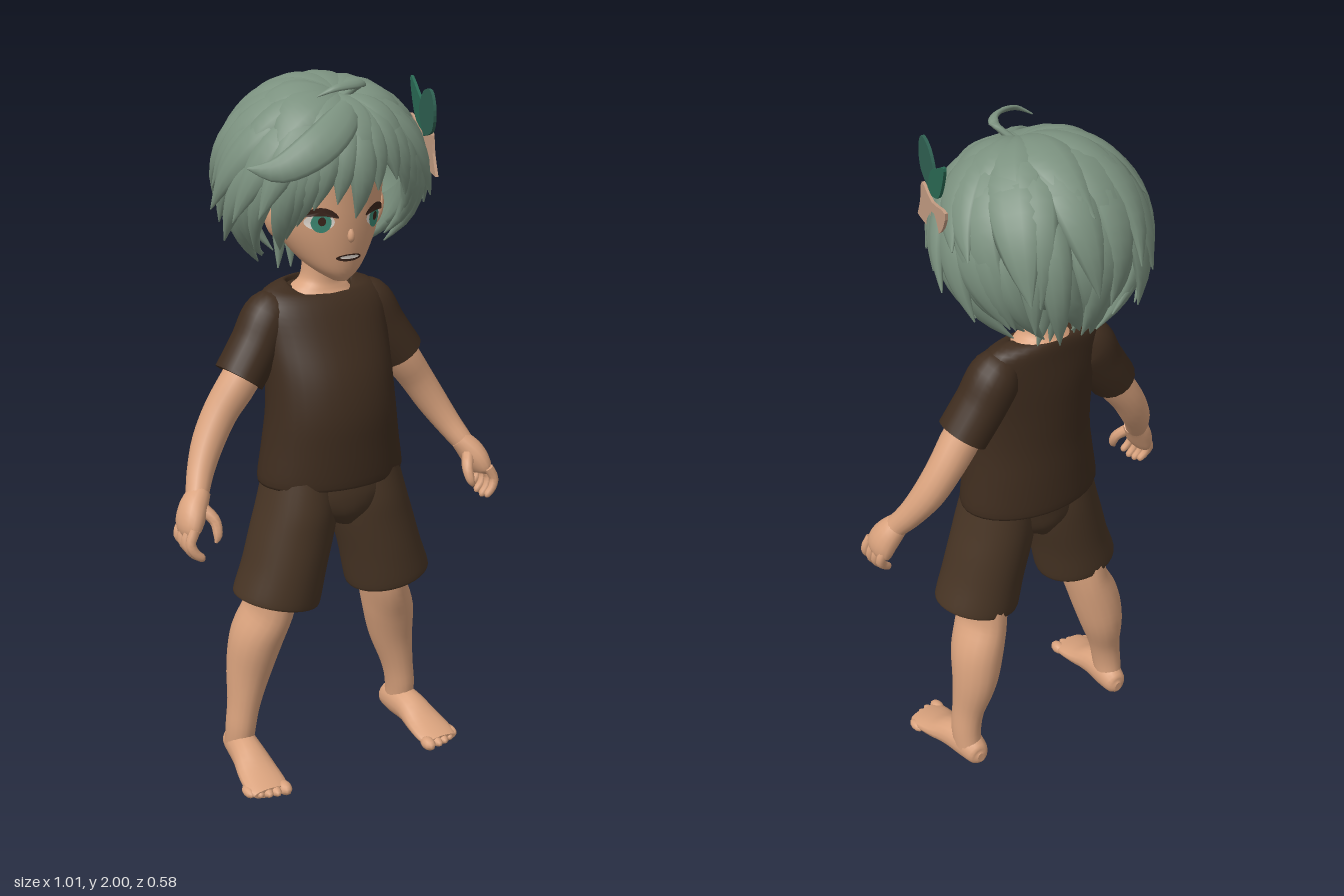
import * as THREE from 'three';

const mat = (name, color, side = THREE.FrontSide) => {
  const m = new THREE.MeshStandardMaterial({ color, side });
  m.name = name;
  return m;
};
const V = (x, y, z) => new THREE.Vector3(x, y, z);

// Smooth interpolation through equally long rows of numbers, t from 0 to 1
function interp(rows, t) {
  const n = rows.length - 1, i = Math.min(Math.floor(t * n), n - 1), f = t * n - i;
  const at = k => rows[Math.max(0, Math.min(n, k))];
  const [a, b, c, d] = [at(i - 1), at(i), at(i + 1), at(i + 2)];
  return b.map((_, k) => b[k] + 0.5 * f * (c[k] - a[k] + f * (2 * a[k] - 5 * b[k] + 4 * c[k] - d[k]
    + f * (3 * (b[k] - c[k]) + d[k] - a[k]))));
}

// Closed skin over equal rings of points
function skin(rings) {
  const n = rings[0].length, pos = [], idx = [];
  rings.forEach(r => r.forEach(p => pos.push(p.x, p.y, p.z)));
  for (let i = 0; i < rings.length - 1; i++) for (let j = 0; j < n; j++) {
    const a = i * n + j, b = i * n + (j + 1) % n;
    idx.push(a, b, a + n, b, b + n, a + n);
  }
  [0, rings.length - 1].forEach((ri, end) => {
    const c = rings[ri].reduce((s, p) => s.add(p), V(0, 0, 0)).divideScalar(n);
    const base = pos.length / 3;
    rings[ri].forEach(p => pos.push(p.x, p.y, p.z));
    pos.push(c.x, c.y, c.z);
    for (let j = 0; j < n; j++) {
      const a = base + j, b = base + (j + 1) % n;
      idx.push(base + n, end ? a : b, end ? b : a);
    }
  });
  const g = new THREE.BufferGeometry();
  g.setAttribute('position', new THREE.Float32BufferAttribute(pos, 3));
  g.setIndex(idx);
  g.computeVertexNormals();
  return g;
}

// Upright loft, rows: [y, cx, cz, rx, rz, front dip, sideways tilt]
function loft(rows, steps = 24, n = 32) {
  const full = rows.map(([y, cx, cz, rx, rz, dip = 0, tilt = 0]) => [y, cx, cz, rx, rz, dip, tilt]);
  const rings = [];
  for (let i = 0; i <= steps; i++) {
    const [y, cx, cz, rx, rz, dip, tilt] = interp(full, i / steps);
    rings.push(Array.from({ length: n }, (_, j) => {
      const a = j / n * Math.PI * 2, s = Math.sin(a), c = Math.cos(a);
      return V(cx + rx * s, y - dip * Math.max(0, c) + tilt * s, cz + rz * c);
    }));
  }
  return skin(rings);
}

// Tapered sweep, rows: [x, y, z, half width, half thickness]; hint(p) gives the thickness direction
function sweep(rows, hint, steps = 12, n = 10) {
  const rings = [], point = t => V(...interp(rows, t).slice(0, 3));
  for (let i = 0; i <= steps; i++) {
    const t = i / steps, [x, y, z, w, h] = interp(rows, t), p = V(x, y, z);
    const T = point(Math.min(1, t + 0.01)).sub(point(Math.max(0, t - 0.01))).normalize();
    const S = hint(p).cross(T).normalize(), N = T.clone().cross(S);
    rings.push(Array.from({ length: n }, (_, j) => {
      const a = j / n * Math.PI * 2;
      return p.clone().addScaledVector(S, Math.cos(a) * Math.max(w, 0.001))
        .addScaledVector(N, Math.sin(a) * Math.max(h, 0.001));
    }));
  }
  return skin(rings);
}

export function createModel() {
  const root = new THREE.Group();
  root.name = 'child';
  const figure = new THREE.Group();
  figure.name = 'figure';
  figure.position.x = -.012;
  root.add(figure);
  const hairMat = mat('hair green', 0x7b917f, THREE.DoubleSide), skinMat = mat('skin', 0xd9a27d);
  const shirtMat = mat('shirt brown', 0x3e2c1e), shortsMat = mat('shorts brown', 0x473424);
  const leafMat = mat('feather green', 0x2a6b55), leafDark = mat('dark feather', 0x2f6152);
  const tanMat = mat('ornament tan', 0xc59d83), whiteMat = mat('white', 0xe6ddd4);
  const irisMat = mat('iris teal', 0x3d8a74), darkMat = mat('lash dark', 0x3a241b);
  const add = (name, geo, m, parent = figure) => {
    const o = new THREE.Mesh(geo, m);
    o.name = name;
    parent.add(o);
    return o;
  };
  const front = () => V(0, 0, 1), up = () => V(0, 1, 0);

  // Head, neck and nose
  const headRows = [[1.465, 0, .105, .02, .025], [1.49, 0, .085, .06, .06], [1.53, 0, .05, .1, .105], [1.6, 0, .02, .14, .145],
    [1.68, 0, .005, .16, .165], [1.78, 0, 0, .165, .17], [1.88, 0, 0, .13, .14], [1.94, 0, 0, .06, .07]];
  add('head', loft(headRows), skinMat);
  add('neck', loft([[1.34, 0, -.01, .11, .08], [1.4, 0, -.01, .1, .078], [1.425, 0, -.01, .085, .066], [1.45, 0, -.005, .058, .055],
    [1.5, 0, 0, .052, .052], [1.56, 0, 0, .055, .055]]), skinMat);
  add('nose', sweep([[0, 1.62, .15, .008, .01], [0, 1.6, .162, .01, .011], [0, 1.586, .166, .009, .008], [0, 1.58, .16, .004, .004]], front), skinMat);

  // Painted face, laid on the head's surface
  const faceZ = (x, y) => {
    let best = headRows[0];
    for (let t = 0; t <= 1; t += 0.004) {
      const r = interp(headRows, t);
      if (Math.abs(r[0] - y) < Math.abs(best[0] - y)) best = r;
    }
    return best[2] + best[4] * Math.sqrt(Math.max(0, 1 - (x / best[3]) ** 2));
  };
  const facePlate = (name, cx, cy, rx, ry, lift, m, arch = 0) => {
    const g = new THREE.CircleGeometry(1, 20), p = g.attributes.position;
    for (let i = 0; i < p.count; i++) {
      const u = p.getX(i), x = cx + u * rx, y = cy + p.getY(i) * ry - arch * u * u;
      p.setXYZ(i, x, y, faceZ(x, y) + lift);
    }
    g.computeVertexNormals();
    add(name, g, m);
  };
  for (const s of [1, -1]) {
    facePlate('eyeWhite', s * .082, 1.635, .034, .022, .003, whiteMat);
    facePlate('iris', s * .08, 1.634, .023, .027, .005, irisMat);
    facePlate('pupil', s * .08, 1.638, .009, .012, .007, darkMat);
    facePlate('lash', s * .084, 1.664, .044, .011, .008, darkMat, .016);
    const ear = add('ear', new THREE.SphereGeometry(1, 16, 12), skinMat);
    ear.scale.set(.018, .05, .032);
    ear.position.set(s * .16, 1.63, .02);
    ear.rotation.z = -s * .2;
  }
  facePlate('mouth', 0, 1.535, .038, .01, .003, darkMat);
  facePlate('teeth', 0, 1.537, .029, .005, .005, whiteMat);

  // Shirt
  add('shirt', loft([[.895, 0, .055, .2, .14], [.9, 0, .055, .22, .15], [1, 0, .057, .205, .152], [1.1, 0, .058, .192, .15],
    [1.2, 0, .045, .188, .14], [1.3, 0, .02, .192, .118], [1.38, 0, 0, .195, .095], [1.425, 0, -.015, .165, .078, .01],
    [1.445, 0, -.015, .105, .072, .04], [1.43, 0, -.015, .095, .066, .04]], 36), shirtMat);

  // Shorts: filled seat between two flared legs
  add('shortsSeat', loft([[.77, 0, .065, .04, .1], [.81, 0, .065, .13, .122], [.86, 0, .065, .195, .127], [.92, 0, .06, .2, .125]]), shortsMat);

  for (const s of [1, -1]) {
    add('shortsLeg', loft([[.56, s * .183, .07, .115, .112, 0, s * .025], [.555, s * .183, .07, .124, .124, 0, s * .025],
      [.65, s * .157, .07, .12, .126, 0, s * .01], [.75, s * .13, .067, .12, .127], [.83, s * .112, .065, .113, .127],
      [.92, s * .1, .06, .1, .12]]), shortsMat);
    add('sleeve', sweep([[s * .1, 1.39, -.015, .03, .04], [s * .15, 1.36, -.012, .072, .072], [s * .2, 1.28, -.005, .072, .076],
      [s * .257, 1.198, .003, .07, .077]], front, 16, 20), shirtMat);

    // Arm, palm and fingers
    add('arm', sweep([[s * .2, 1.27, 0, .05, .05], [s * .26, 1.185, .005, .054, .055], [s * .315, 1.11, .005, .049, .051],
      [s * .362, 1.035, .02, .045, .047], [s * .4, .97, .05, .038, .039], [s * .428, .92, .085, .032, .034],
      [s * .44, .9, .095, .03, .036]], front, 20, 16), skinMat);
    add('palm', sweep([[s * .42, .925, .085, .029, .033], [s * .445, .895, .1, .036, .045], [s * .464, .86, .115, .035, .052],
      [s * .473, .83, .122, .025, .048], [s * .472, .82, .124, .01, .03]], front, 12, 16), skinMat);
    for (let k = 0; k < 4; k++) {
      const z = .085 + k * .027, l = [.82, .95, 1, .92][k];
      add('finger', sweep([[s * .472, .85, z, .015, .012], [s * .489, .85 - .035 * l, z + .004, .015, .013],
        [s * .48, .85 - .065 * l, z + .01, .013, .012], [s * .46, .85 - .085 * l, z + .013, .011, .01],
        [s * .454, .85 - .089 * l, z + .013, .003, .003]], front, 10, 8), skinMat);
    }
    add('thumb', sweep([[s * .43, .89, .12, .018, .018], [s * .408, .86, .15, .016, .017], [s * .408, .825, .168, .013, .013],
      [s * .417, .805, .172, .004, .004]], front, 10, 8), skinMat);

    // Leg, foot and toes
    add('leg', sweep([[s * .178, .66, .05, .07, .09], [s * .182, .58, .045, .068, .098], [s * .192, .5, .035, .064, .098],
      [s * .222, .41, .016, .074, .089], [s * .242, .31, .004, .066, .076], [s * .264, .2, .01, .048, .056],
      [s * .276, .12, .01, .043, .052], [s * .278, .05, 0, .04, .05]], front, 28, 18), skinMat);
    add('foot', sweep([[s * .272, .045, -.064, .012, .015], [s * .272, .046, -.05, .034, .036], [s * .275, .058, 0, .044, .052],
      [s * .282, .056, .07, .049, .048], [s * .287, .038, .14, .06, .031], [s * .29, .026, .2, .063, .021],
      [s * .291, .022, .232, .052, .015]], up, 20, 16), skinMat);
    for (let k = 0; k < 5; k++) {
      const toe = add('toe', new THREE.SphereGeometry(1, 10, 8), skinMat), r = k ? .0155 : .02;
      toe.scale.set(r, r * .95, .03);
      toe.position.set(s * (.245 + k * .0235 + (k ? .006 : 0)), .021, .228 - k * k * .002);
    }
  }

  // Hair: cap plus tapered locks radiating from a whorl
  const hair = new THREE.Group();
  hair.name = 'hair';
  figure.add(hair);
  const cap = add('hairCap', new THREE.SphereGeometry(1, 32, 20, 0, Math.PI * 2, 0, 1.9), hairMat, hair);
  cap.rotation.x = -.55;
  cap.scale.set(.225, .215, .225);
  cap.position.set(0, 1.745, -.005);

  const C = V(0, 1.74, 0), R = V(.247, .232, .25), whorl = V(0, .93, .37).normalize();
  const outward = p => p.clone().sub(C);
  let seed = 7;
  const rnd = () => (seed = (seed * 16807) % 2147483647) / 2147483647 - .5;
  const lock = (az, el, width, flare, start = 0, swirl = 0) => {
    const a = az * Math.PI / 180, e = el * Math.PI / 180;
    const tip = V(Math.sin(a) * Math.cos(e), Math.sin(e), Math.cos(a) * Math.cos(e));
    const ang = whorl.angleTo(tip), rows = [];
    for (let k = 0; k <= 6; k++) {
      const f = k / 6, t = start + (1 - start) * f;
      const d = whorl.clone().multiplyScalar(Math.sin((1 - t) * ang)).addScaledVector(tip, Math.sin(t * ang))
        .divideScalar(Math.sin(ang)).applyAxisAngle(V(0, 1, 0), swirl * f * f);
      const p = d.multiply(R).multiplyScalar(.96 + .05 * Math.sin(Math.PI * f) + (flare - .96) * f ** 3).add(C);
      const w = width * [.3, .68, .95, 1, .84, .5, .02][k];
      rows.push([p.x, p.y, p.z, w, [.012, .02, .027, .03, .026, .016, .002][k]]);
    }
    add('hairLock', sweep(rows, outward, 14, 10), hairMat, hair);
  };
  // Rings of locks round the sides and back: [count, tip elevation, width, flare, start, first azimuth]
  const layers = [[12, -55, .052, 1.2, .4, 104], [13, -39, .056, 1.26, .3, 90], [14, -20, .062, 1.25, .1, 70],
    [12, 0, .066, 1.18, 0, 58], [8, 26, .066, 1.1, 0, 62]];
  for (const [count, el, w, flare, start, az0] of layers)
    for (let k = 0; k < count; k++)
      lock(az0 + (360 - 2 * az0) * k / (count - 1) + rnd() * 12, el + rnd() * 14, w * (1 + rnd() * .4), flare + rnd() * .18, start, rnd() * .5);
  // Fringe: [azimuth, tip elevation, width, flare]
  for (const [az, el, w, flare] of [[-78, -42, .045, 1.2], [-66, -50, .045, 1.05], [-54, -40, .045, 1], [-42, -27, .05, 1], [-30, -14, .05, 1.02],
    [-16, -10, .045, 1.02], [-3, -21, .045, 1], [10, -3, .042, 1.02], [24, 2, .045, 1.04], [37, -10, .045, 1.02], [49, -30, .045, 1],
    [60, -46, .045, 1], [72, -50, .04, 1.1], [-58, -16, .055, 1.25], [-35, 8, .055, 1.08], [0, 10, .055, 1.06], [32, 15, .055, 1.08], [58, -12, .055, 1.22]])
    lock(az, el, w, flare, 0, -.06);
  // Stray curls: hooked fringe lock, crown wisp and nape strands
  add('hookedLock', sweep([[.01, 1.94, .13, .02, .012], [-.06, 1.905, .215, .045, .02], [-.15, 1.85, .25, .05, .02],
    [-.24, 1.8, .225, .034, .014], [-.305, 1.8, .17, .002, .002]], outward, 16), hairMat, hair);
  add('crownWisp', sweep([[.01, 1.95, .1, .012, .01], [.035, 1.985, .15, .014, .008], [-.01, 1.99, .19, .014, .007],
    [-.07, 1.985, .2, .01, .006], [-.11, 1.965, .18, .002, .002]], outward, 16), hairMat, hair);
  for (let k = -2; k <= 2; k++)
    add('napeLock', sweep([[k * .035, 1.6, -.12, .025, .02], [k * .035, 1.53, -.11, .02, .014], [k * .04, 1.46, -.1, .002, .002]], outward, 8, 8), hairMat, hair);

  // Hair ornament on the left: thin plates drawn in z and y, slanting along the head
  const ornament = (name, pts, m, offset) => {
    const outline = new THREE.SplineCurve(pts.map(p => new THREE.Vector2(...p))).getPoints(24);
    const g = new THREE.ExtrudeGeometry(new THREE.Shape(outline), { depth: .009, bevelEnabled: false }).rotateY(-Math.PI / 2);
    const p = g.attributes.position;
    for (let i = 0; i < p.count; i++) p.setX(i, p.getX(i) + .284 - .33 * p.getZ(i) + offset);
    g.computeVertexNormals();
    add(name, g, m);
  };
  ornament('tanFeather', [[.25, 1.745], [.215, 1.8], [.19, 1.86], [.1, 1.845], [-.025, 1.87], [.02, 1.8], [.1, 1.765], [.19, 1.75], [.25, 1.745]], tanMat, .012);
  ornament('roundFeather', [[.17, 1.84], [.25, 1.865], [.265, 1.92], [.23, 1.965], [.16, 1.955], [.12, 1.9], [.17, 1.84]], leafDark, -.004);
  ornament('pointedFeather', [[.17, 1.84], [.13, 1.91], [.07, 1.945], [0, 1.975], [.02, 1.92], [.07, 1.865], [.17, 1.84]], leafMat, .004);
  return root;
}
